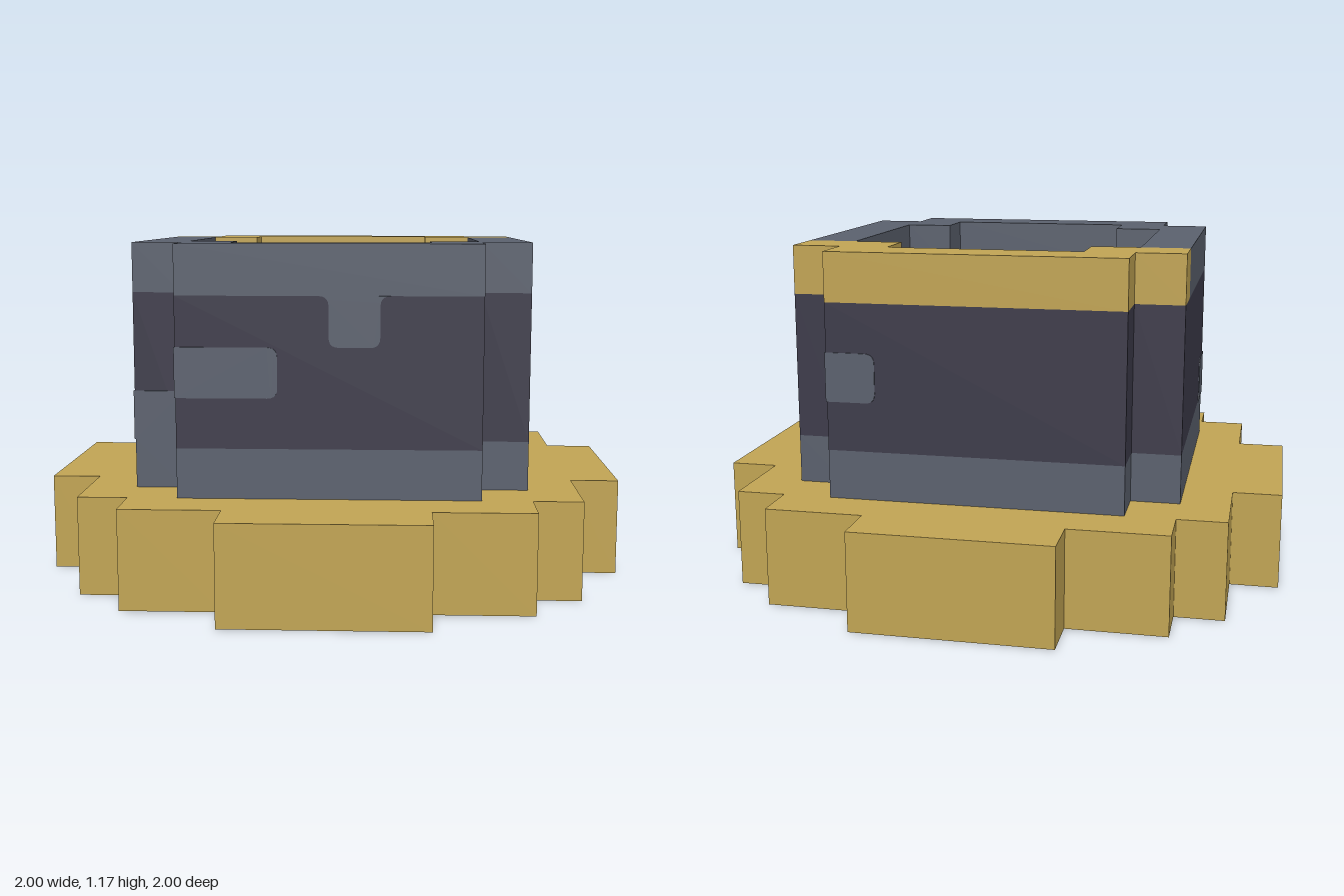
import * as THREE from 'three';

const U = 1 / 6;   // one block
const E = 0.02;    // how far patches stand proud of the wall, in blocks
const R = 0.2;     // patch corner radius, in blocks

const gold = new THREE.MeshStandardMaterial({ color: 0xc2a554 });
gold.name = 'gold';
const darkStone = new THREE.MeshStandardMaterial({ color: 0x3d3b4a });
darkStone.name = 'darkStone';
const greyStone = new THREE.MeshStandardMaterial({ color: 0x5b616e });
greyStone.name = 'greyStone';

const toPoints = (list) => list.map(([x, y]) => new THREE.Vector2(x, y));

// Mirror one quadrant of a stepped outline (+x,+z, from the x side to the z side) into a closed loop
function mirrored(quarter) {
  const back = [...quarter].reverse();
  return [
    ...quarter,
    ...back.map(([x, z]) => [-x, z]),
    ...quarter.map(([x, z]) => [-x, -z]),
    ...back.map(([x, z]) => [x, -z]),
  ];
}

// Horizontal slab from a plan outline (x, z), between two heights
function slab(name, material, outline, hole, y0, y1) {
  const shape = new THREE.Shape(toPoints(outline));
  if (hole) shape.holes.push(new THREE.Path(toPoints(hole)));
  const geo = new THREE.ExtrudeGeometry(shape, { depth: y1 - y0, bevelEnabled: false });
  geo.rotateX(Math.PI / 2).translate(0, y1, 0).scale(U, U, U);
  const mesh = new THREE.Mesh(geo, material);
  mesh.name = name;
  return mesh;
}

// Rounded rectangle; the left or right end can be square where it wraps a wall corner
function spotShape(u0, u1, y0, y1, leftR = R, rightR = R) {
  const s = new THREE.Shape();
  s.moveTo(u0 + leftR, y0);
  s.lineTo(u1 - rightR, y0);
  s.quadraticCurveTo(u1, y0, u1, y0 + rightR);
  s.lineTo(u1, y1 - rightR);
  s.quadraticCurveTo(u1, y1, u1 - rightR, y1);
  s.lineTo(u0 + leftR, y1);
  s.quadraticCurveTo(u0, y1, u0, y1 - leftR);
  s.lineTo(u0, y0 + leftR);
  s.quadraticCurveTo(u0, y0, u0 + leftR, y0);
  return s;
}

// Tab growing from a band edge at y0 to its tip at y1, flared at the root
function tabShape(u0, u1, y0, y1, rightR = R) {
  const r = Math.sign(y1 - y0) * R;
  const k = Math.sign(y1 - y0) * rightR;
  const s = new THREE.Shape();
  s.moveTo(u0 - R, y0);
  s.quadraticCurveTo(u0, y0, u0, y0 + r);
  s.lineTo(u0, y1 - r);
  s.quadraticCurveTo(u0, y1, u0 + R, y1);
  s.lineTo(u1 - rightR, y1);
  s.quadraticCurveTo(u1, y1, u1, y1 - k);
  s.lineTo(u1, y0 + k);
  s.quadraticCurveTo(u1, y0, u1 + rightR, y0);
  return s;
}

// Patch passing through a wall; side walls are turned so that u runs along z
function patch(name, shape, from, to, side = false) {
  const depth = to - from + 2 * E;
  const geo = new THREE.ExtrudeGeometry(shape, { depth, bevelEnabled: false, curveSegments: 5 });
  geo.translate(0, 0, (side ? -to : from) - E);
  if (side) geo.rotateY(-Math.PI / 2);
  geo.scale(U, U, U);
  const mesh = new THREE.Mesh(geo, greyStone);
  mesh.name = name;
  return mesh;
}

export function createModel() {
  const model = new THREE.Group();
  model.name = 'steppedTower';

  // Wide stepped base with a stepped hole
  const baseOuter = mirrored([[6, 2], [5, 2], [5, 4], [4, 4], [4, 5], [2, 5], [2, 6]]);
  const baseHole = mirrored([[3, 1], [2, 1], [2, 2], [1, 2], [1, 3]]);
  model.add(slab('base', gold, baseOuter, baseHole, 0, 2));

  // Hollow tower walls
  const wallOuter = mirrored([[4, 3], [3, 3], [3, 4]]);
  const wallHole = mirrored([[3, 2], [2, 2], [2, 3]]);
  model.add(slab('lowerBand', greyStone, wallOuter, wallHole, 2, 3));
  model.add(slab('darkWall', darkStone, wallOuter, wallHole, 3, 6));

  // Rim: grey at the front and sides, gold at the back
  model.add(slab('greyRim', greyStone, [
    [-4, -2], [-4, 3], [-3, 3], [-3, 4], [3, 4], [3, 3], [4, 3], [4, -2],
    [3, -2], [3, 2], [2, 2], [2, 3], [-2, 3], [-2, 2], [-3, 2], [-3, -2],
  ], null, 6, 7));
  model.add(slab('goldRim', gold, [
    [-4, -2], [-4, -3], [-3, -3], [-3, -4], [3, -4], [3, -3], [4, -3], [4, -2],
    [2, -2], [2, -3], [-2, -3], [-2, -2],
  ], null, 6, 7));

  // Grey patches in the dark wall
  const patches = new THREE.Group();
  patches.name = 'greyPatches';
  patches.add(
    patch('frontTab', tabShape(0, 1, 6, 5), 3, 4),
    patch('frontSpot', spotShape(-3 - E, -1, 4, 5, 0, R), 3, 4),
    patch('backCornerSpot', spotShape(2, 3 + E, 4, 5, R, 0), -4, -3),
    patch('leftSpot', spotShape(-1, 0, 4, 5), 3, 4, true),
    patch('leftTab', tabShape(1, 2, 3, 4), 3, 4, true),
    patch('rightCornerTab', tabShape(2, 3 + E, 3, 4, 0), -4, -3, true),
  );
  model.add(patches);
  return model;
}
